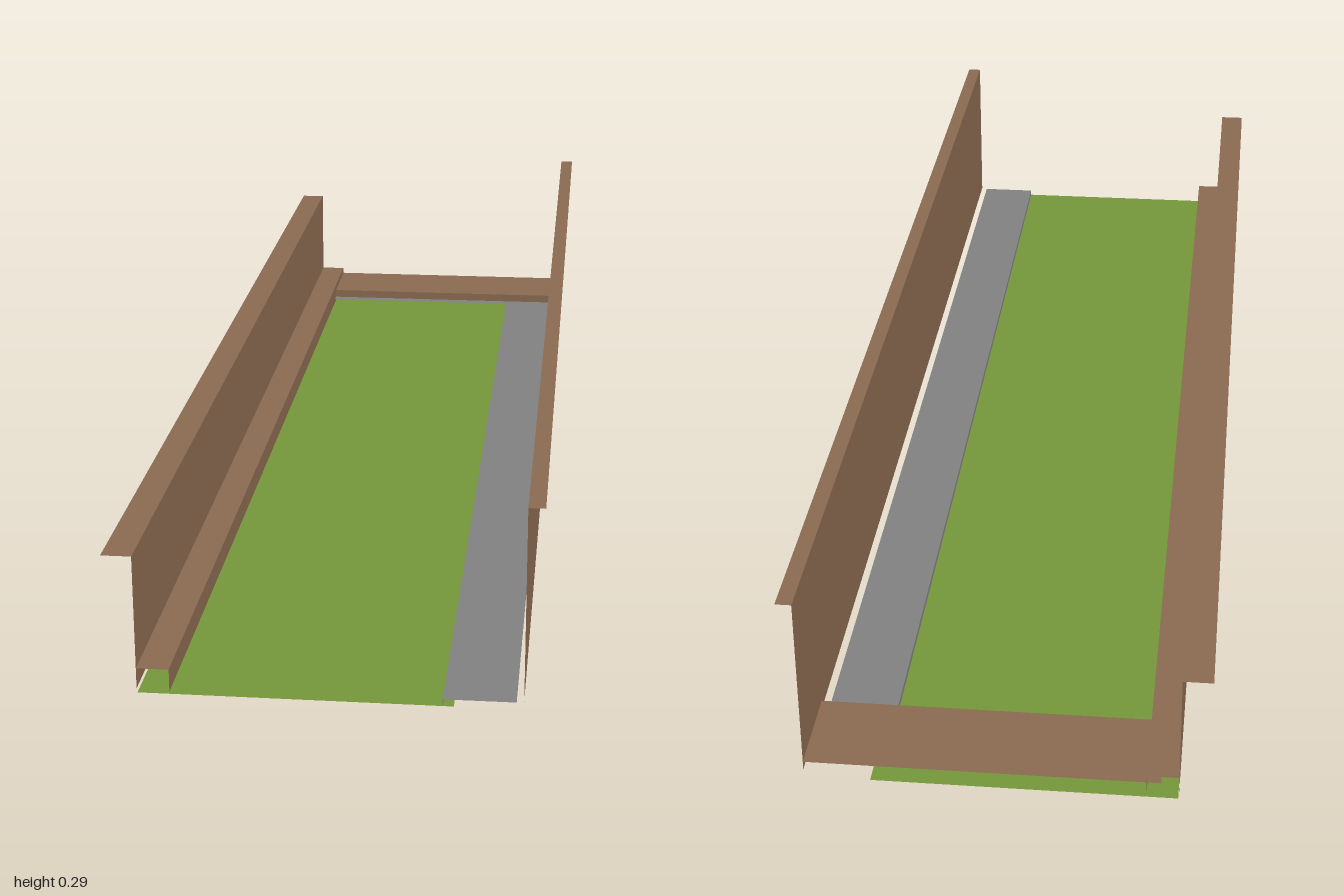
import * as THREE from 'three';

const flat = (name, color) => {
  const m = new THREE.MeshStandardMaterial({ color, side: THREE.DoubleSide });
  m.name = name;
  return m;
};

// Folded sheet: an open (x, y) profile drawn along z from z0 to z1
function foldedSheet(name, material, profile, z0, z1) {
  const pos = [];
  for (let i = 0; i < profile.length - 1; i++) {
    const [ax, ay] = profile[i], [bx, by] = profile[i + 1];
    pos.push(ax, ay, z0, ax, ay, z1, bx, by, z1);
    pos.push(ax, ay, z0, bx, by, z1, bx, by, z0);
  }
  const g = new THREE.BufferGeometry();
  g.setAttribute('position', new THREE.Float32BufferAttribute(pos, 3));
  g.computeVertexNormals();
  const mesh = new THREE.Mesh(g, material);
  mesh.name = name;
  return mesh;
}

export function createModel() {
  const brown = flat('brown timber', 0x8b6b51);
  const green = flat('green grass', 0x75983a);
  const grey = flat('grey stone', 0x828282);
  const model = new THREE.Group();
  model.name = 'troughModel';

  // Flat floor
  model.add(foldedSheet('grassFloor', green, [[-0.252, 0], [0.178, 0]], -1, 1));

  // Raised path with a small step, and its narrow end along the board
  model.add(foldedSheet('sidePath', grey, [[0.163, 0], [0.163, 0.01], [0.262, 0.01]], -0.862, 1));
  model.add(foldedSheet('endPath', grey, [[-0.228, 0.01], [0.163, 0.01]], -0.862, -0.843));

  // Walls with outward caps; the +x wall is taller
  model.add(foldedSheet('tallWall', brown, [[0.272, 0.012], [0.272, 0.29], [0.295, 0.29]], -1, 1));
  model.add(foldedSheet('lowWall', brown, [[-0.253, 0.006], [-0.253, 0.2], [-0.295, 0.2]], -1, 1));

  // Ledge along the foot of the low wall
  model.add(foldedSheet('wallLedge', brown, [[-0.253, 0.036], [-0.208, 0.036], [-0.208, 0.003]], -1, 1));

  // Board across the back end, folded down at its front edge
  const board = foldedSheet('endBoard', brown, [[1, 0.025], [0.862, 0.025], [0.862, 0.005]], -0.228, 0.272);
  board.rotation.y = Math.PI / 2;
  model.add(board);

  return model;
}
